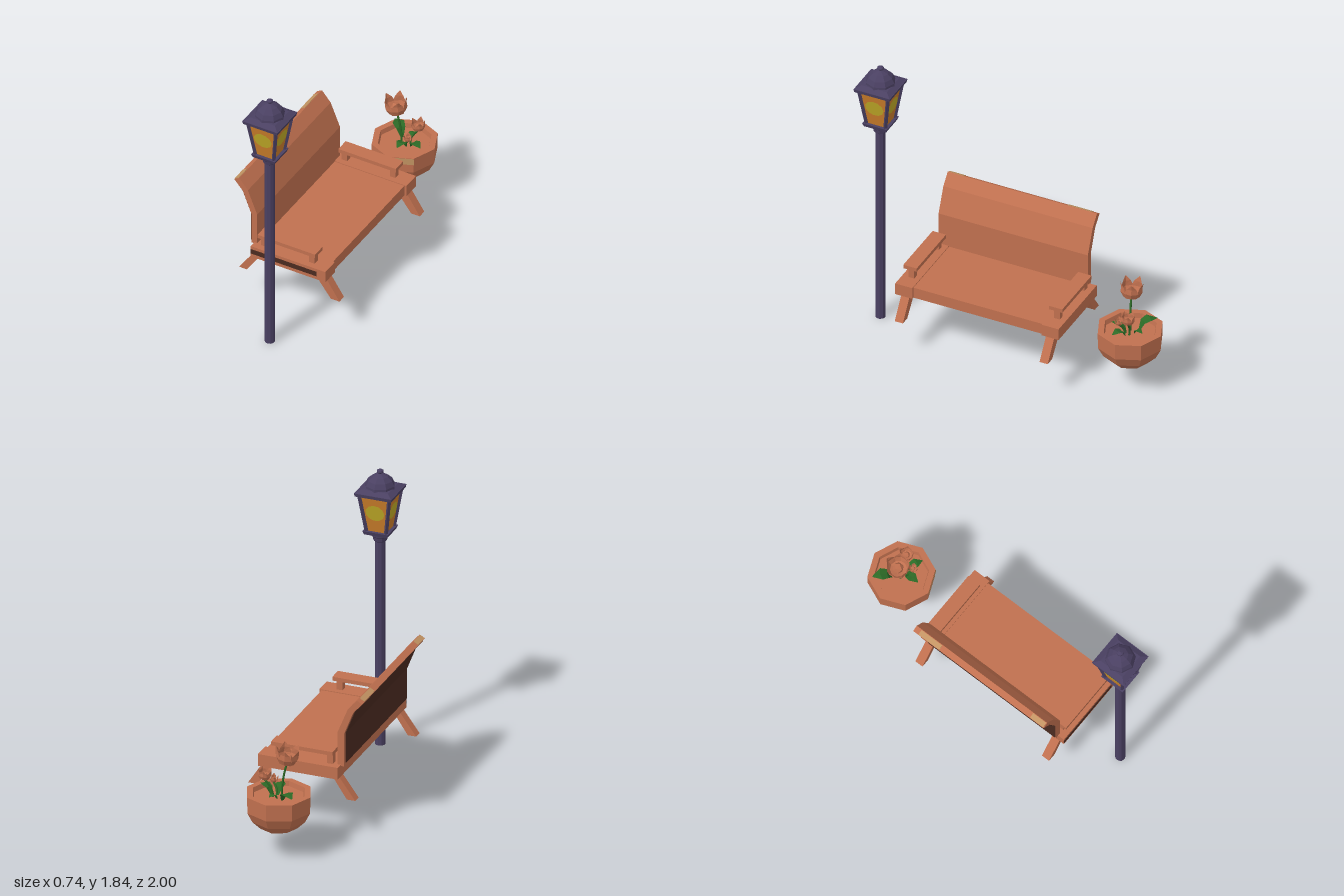
import * as THREE from 'three';

const mat = (name, color, extra = {}) =>
  Object.assign(new THREE.MeshStandardMaterial({ color, flatShading: true, ...extra }), { name });

export function createModel() {
  const clay = mat('terracotta', 0xc0704f);
  const petalMat = mat('petal', 0xc0704f, { side: THREE.DoubleSide });
  petalMat.color = clay.color;
  const dark = mat('darkWood', 0x4a2a20);
  const tan = mat('paleWood', 0xc29362);
  const iron = mat('purpleIron', 0x4a4062);
  const amber = mat('amberGlass', 0xc87c2a);
  const glow = mat('yellowGlow', 0xbca626);
  const green = mat('leafGreen', 0x2c6a26, { side: THREE.DoubleSide });

  const root = new THREE.Group();
  const group = (name, x = 0, y = 0, z = 0, parent = root) => {
    const g = new THREE.Group();
    g.name = name;
    g.position.set(x, y, z);
    parent.add(g);
    return g;
  };
  const add = (parent, name, geo, material) => {
    const m = new THREE.Mesh(geo, material);
    m.name = name;
    parent.add(m);
    return m;
  };
  // box given by its limits
  const box = (parent, name, x0, x1, y0, y1, z0, z1, material) =>
    add(parent, name, new THREE.BoxGeometry(x1 - x0, y1 - y0, z1 - z0), material)
      .position.set((x0 + x1) / 2, (y0 + y1) / 2, (z0 + z1) / 2);
  // side profile (x, y) pushed along z
  const prism = (parent, name, pts, z0, z1, material) => {
    const shape = new THREE.Shape(pts.map(p => new THREE.Vector2(...p)));
    const geo = new THREE.ExtrudeGeometry(shape, { depth: z1 - z0, bevelEnabled: false });
    add(parent, name, geo, material).position.z = z0;
  };
  const lathe = (parent, name, pts, sides, material) =>
    add(parent, name, new THREE.LatheGeometry(pts.map(p => new THREE.Vector2(...p)), sides), material);
  // four-sided tapered block with half widths
  const taper = (parent, name, top, bottom, y0, y1, material) => {
    const geo = new THREE.CylinderGeometry(top * Math.SQRT2, bottom * Math.SQRT2, y1 - y0, 4);
    geo.rotateY(Math.PI / 4).translate(0, (y0 + y1) / 2, 0);
    return add(parent, name, geo, material);
  };

  // ---- Bench ----
  const bench = group('bench');
  box(bench, 'seat', -0.23, 0.275, 0.39, 0.463, -0.34, 0.545, clay);
  box(bench, 'seatUnderside', -0.215, 0.26, 0.386, 0.391, -0.4, 0.6, dark);
  box(bench, 'sideSlot', -0.23, 0.23, 0.415, 0.447, 0.645, 0.653, dark);

  const mid = 0.1;                       // bench centre along z
  for (const s of [-1, 1]) {
    const end = group(s > 0 ? 'frontEnd' : 'backEnd', 0, 0, mid, bench);
    const span = (a, b) => (s > 0 ? [a, b] : [-b, -a]);
    box(end, 'endBeam', -0.23, 0.29, 0.39, 0.468, ...span(0.435, 0.55), clay);
    box(end, 'armrest', -0.19, 0.21, 0.535, 0.56, ...span(0.445, 0.535), clay);
    for (const x of [-0.182, 0.155])
      box(end, 'armrestPost', x, x + 0.038, 0.465, 0.536, ...span(0.47, 0.51), clay);
    prism(end, 'frontLeg', [[0.2, 0.392], [0.275, 0.392], [0.368, 0.25], [0.308, 0.25]], ...span(0.46, 0.515), clay);
    prism(end, 'rearLeg', [[-0.225, 0.392], [-0.18, 0.392], [-0.275, 0.25], [-0.33, 0.25]], ...span(0.46, 0.515), clay);
  }

  // curved backrest with a dark rear face
  prism(bench, 'backrest', [[-0.25, 0.46], [-0.21, 0.46], [-0.21, 0.685], [-0.275, 0.845],
    [-0.335, 0.915], [-0.37, 0.895], [-0.31, 0.828], [-0.25, 0.675]], -0.4, 0.605, clay);
  const rear = [[-0.249, 0.475], [-0.249, 0.675], [-0.309, 0.828], [-0.352, 0.876]];
  prism(bench, 'backrestRear', [...rear, ...rear.map(([x, y]) => [x - 0.006, y]).reverse()], -0.375, 0.6, dark);
  for (const [z0, z1] of [[-0.36, -0.2], [0.5, 0.6]])
    prism(bench, 'paleTopEdge', [[-0.338, 0.912], [-0.368, 0.895], [-0.369, 0.899], [-0.339, 0.916]], z0, z1, tan);

  // ---- Street lamp ----
  const lamp = group('streetLamp', 0.033, 0, 0.876);
  lathe(lamp, 'post', [[0, 0], [0.032, 0], [0.032, 1.37], [0, 1.37]], 10, iron);
  lathe(lamp, 'collar', [[0.03, 1.355], [0.042, 1.365], [0.046, 1.39], [0.058, 1.4], [0.06, 1.42], [0, 1.43]], 10, iron);
  taper(lamp, 'lanternBase', 0.083, 0.075, 1.418, 1.442, iron);
  taper(lamp, 'glass', 0.098, 0.063, 1.44, 1.685, amber);
  taper(lamp, 'roofPlate', 0.122, 0.118, 1.682, 1.703, iron);
  taper(lamp, 'roofSkirt', 0.085, 0.118, 1.703, 1.722, iron);
  lathe(lamp, 'dome', [[0.095, 1.715], [0.093, 1.735], [0.078, 1.765], [0.05, 1.79], [0.024, 1.802],
    [0.012, 1.808], [0.022, 1.818], [0.02, 1.828], [0, 1.836]], 8, iron);

  const slope = Math.atan2(0.035, 0.245);
  for (let i = 0; i < 4; i++) {
    const side = group('lanternSide', 0, 0, 0, lamp);
    side.rotation.y = i * Math.PI / 2;
    const bar = new THREE.LineCurve3(new THREE.Vector3(0.064, 1.44, 0.064), new THREE.Vector3(0.099, 1.69, 0.099));
    add(side, 'cornerBar', new THREE.TubeGeometry(bar, 1, 0.013, 4), iron);
    const spot = add(side, 'glowPatch', new THREE.CircleGeometry(1, 11), glow);
    spot.scale.set(0.062, 0.054, 1);
    spot.position.set(0, 1.575, 0.0855);
    spot.rotation.x = slope;
  }

  // ---- Flower pot ----
  const pot = group('flowerPot', 0.014, 0, -0.795);
  lathe(pot, 'pot', [[0, 0.193], [0.12, 0.193], [0.172, 0.245], [0.205, 0.31], [0.207, 0.416],
    [0.168, 0.416], [0.162, 0.385], [0, 0.385]], 8, clay);
  add(pot, 'palePatch', new THREE.CylinderGeometry(0.2095, 0.2095, 0.045, 1, 1, true, 0, Math.PI / 4), tan)
    .position.y = 0.392;

  // strip with a raised middle line; rows are [reach, height, half width, cup]
  const blade = rows => {
    const pos = [], idx = [];
    rows.forEach(([r, y, w, cup]) => pos.push(r - cup, y, w, r, y, 0, r - cup, y, -w));
    for (let i = 0; i < rows.length - 1; i++)
      for (let j = 0; j < 2; j++) {
        const a = i * 3 + j;
        idx.push(a, a + 3, a + 1, a + 1, a + 3, a + 4);
      }
    const geo = new THREE.BufferGeometry();
    geo.setAttribute('position', new THREE.Float32BufferAttribute(pos, 3));
    geo.setIndex(idx);
    geo.computeVertexNormals();
    return geo;
  };
  const petalGeo = blade([[0, 0, 0.012, 0], [0.052, 0.02, 0.036, 0.012], [0.07, 0.055, 0.044, 0.018],
    [0.068, 0.09, 0.03, 0.01], [0.075, 0.122, 0.003, 0]]);
  const flower = (name, x, y, z, size, count) => {
    const f = group(name, x, y, z, pot);
    f.scale.setScalar(size);
    f.rotation.z = 0.12;
    for (let i = 0; i < count; i++)
      add(f, 'petal', petalGeo, petalMat).rotation.y = 0.4 + i * 2 * Math.PI / count;
    add(f, 'heart', new THREE.IcosahedronGeometry(0.036, 0), clay).position.y = 0.045;
    const stem = new THREE.QuadraticBezierCurve3(new THREE.Vector3(x * 0.4, 0.38, z * 0.4),
      new THREE.Vector3(x * 0.3, (y + 0.38) / 2, z * 0.6), new THREE.Vector3(x, y + 0.005, z));
    add(pot, 'stem', new THREE.TubeGeometry(stem, 6, 0.007, 5), green);
  };
  flower('largeFlower', -0.045, 0.598, 0.015, 1, 5);
  flower('smallFlower', 0.085, 0.495, -0.025, 0.6, 5);
  flower('bud', 0.055, 0.452, 0.05, 0.38, 4);

  // leaves: [x, z, heading, size]
  const leafGeo = blade([[0, 0, 0.008, 0], [0.03, 0.055, 0.028, 0.006], [0.07, 0.07, 0.036, 0.008],
    [0.115, 0.055, 0.003, 0]]);
  [[-0.04, -0.04, 2.45, 1.05], [0.015, 0.02, -1.6, 0.85], [0.05, 0.01, -0.45, 0.85], [0, -0.03, 1.2, 0.6]]
    .forEach(([x, z, turn, size]) => {
      const leaf = add(pot, 'leaf', leafGeo, green);
      leaf.position.set(x, 0.384, z);
      leaf.rotation.y = turn;
      leaf.scale.setScalar(size);
    });

  return root;
}
